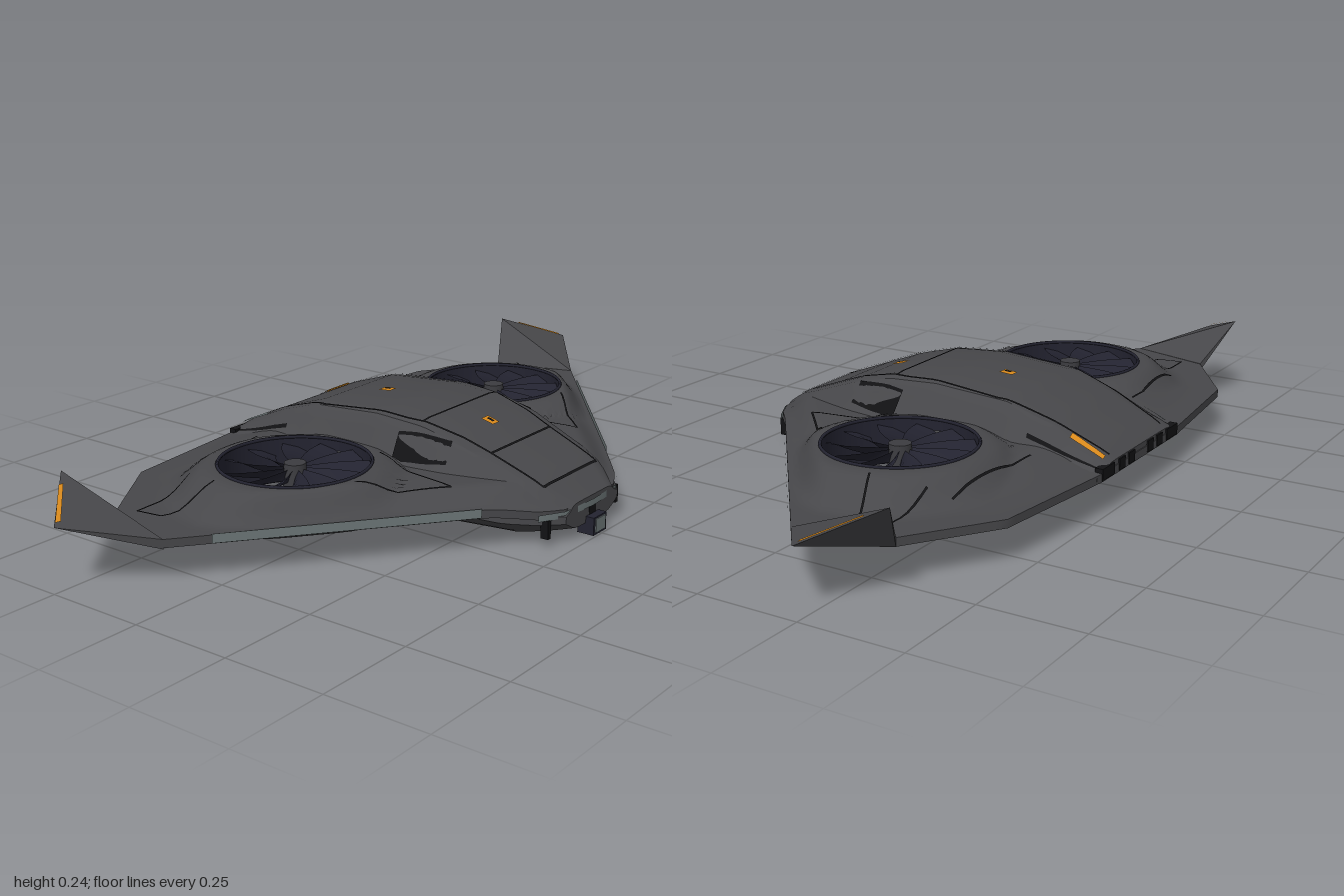
import * as THREE from 'three';
import { toCreasedNormals } from 'three/addons/utils/BufferGeometryUtils.js';
import { ConvexGeometry } from 'three/addons/geometries/ConvexGeometry.js';

const mat = (name, color, side = THREE.FrontSide) => {
  const m = new THREE.MeshStandardMaterial({ color, side });
  m.name = name;
  return m;
};
const { smoothstep, lerp } = THREE.MathUtils;
const FAN = { x: 0.405, z: -0.09, r: 0.18 };

// Half planform [x, z], nose to tail
const OUTLINE = [[0, 0.47], [0.11, 0.465], [0.17, 0.43], [0.25, 0.36], [0.82, -0.1],
  [0.755, -0.315], [0.55, -0.455], [0.2, -0.495], [0, -0.495]];

// Piecewise linear lookup in [key, value] pairs with rising keys
function interp(table, k) {
  if (k <= table[0][0]) return table[0][1];
  for (let i = 1; i < table.length; i++) {
    const [a, va] = table[i - 1], [b, vb] = table[i];
    if (k <= b) return lerp(va, vb, (k - a) / (b - a || 1));
  }
  return table[table.length - 1][1];
}

// Surface through rows of points
function grid(rows, crease = 0.6) {
  const n = rows[0].length, idx = [];
  for (let i = 0; i < rows.length - 1; i++) for (let j = 0; j < n - 1; j++) {
    const a = i * n + j, b = a + n;
    idx.push(a, b, b + 1, a, b + 1, a + 1);
  }
  const g = new THREE.BufferGeometry();
  g.setAttribute('position', new THREE.Float32BufferAttribute(rows.flat(2), 3));
  g.setIndex(idx);
  return toCreasedNormals(g, crease);
}

// Mirror across x, keeping faces outward
function mirror(geo) {
  const g = geo.index ? geo.toNonIndexed() : geo.clone();
  for (const name of ['position', 'normal']) {
    const s = g.attributes[name], v = [];
    for (let i = 0; i < s.count; i += 3)
      for (const k of [i, i + 2, i + 1]) v.push(-s.getX(k), s.getY(k), s.getZ(k));
    g.setAttribute(name, new THREE.Float32BufferAttribute(v, 3));
  }
  return g;
}

// Distance to the outer rim of the planform
function rimDistance(x, z) {
  let best = 9;
  for (let i = 1; i < OUTLINE.length; i++) {
    const [ax, az] = OUTLINE[i - 1], [bx, bz] = OUTLINE[i];
    const dx = bx - ax, dz = bz - az;
    const t = THREE.MathUtils.clamp(((x - ax) * dx + (z - az) * dz) / (dx * dx + dz * dz), 0, 1);
    best = Math.min(best, Math.hypot(x - ax - t * dx, z - az - t * dz));
  }
  return best;
}

// Wing swells around the fan and thins to the rim
function swell(x, z) {
  const r = Math.hypot(x - FAN.x, z - FAN.z);
  const near = 1 - smoothstep(r, 0.2, 0.32);
  const inner = 0.6 * (1 - smoothstep(x, 0.25, 0.6));
  const width = lerp(0.18, 0.075, smoothstep(z, -0.3, -0.05));
  return Math.max(near, inner) * smoothstep(rimDistance(x, z), 0, width);
}
const droop = z => -0.02 * smoothstep(z, 0.34, 0.47);
const wingTop = (x, z) => 0.106 + droop(z) + 0.062 * swell(Math.abs(x), z);
const wingBottom = (x, z) => 0.086 + droop(z) - 0.03 * swell(Math.abs(x), z);

// Fuselage stations, tail to nose
const TOP = [[-0.493, 0.12], [-0.47, 0.135], [-0.35, 0.19], [-0.23, 0.23], [-0.03, 0.245], [0.1, 0.236],
  [0.2, 0.21], [0.4, 0.135], [0.472, 0.092]];
const BOTTOM = [[-0.493, 0.085], [-0.3, 0.042], [-0.21, 0.02], [0.18, 0.007], [0.36, 0.011], [0.472, 0.03]];
const MID = [[-0.493, 0.098], [-0.3, 0.1], [0.2, 0.1], [0.36, 0.09], [0.472, 0.068]];
const WIDTH = [[-0.493, 0.17], [-0.3, 0.19], [0, 0.195], [0.2, 0.187], [0.36, 0.162], [0.43, 0.125], [0.472, 0.088]];
function halfSection(z) {
  const w = interp(WIDTH, z), t = interp(TOP, z), b = interp(BOTTOM, z), m = interp(MID, z);
  const under = [[0, 0], [0.65, 0], [0.85, 0.05], [1, 0.2], [1.3, 0.6]].map(([x, y]) => [x * w, b + y * (m - b)]);
  const over = [[1.3, 0.1], [1.1, 0.4], [1, 0.75], [0.87, 0.95], [0.7, 1], [0, 1]].map(([x, y]) => [x * w, m + y * (t - m)]);
  return { under, over };
}
const topY = (x, z) => {
  const s = halfSection(z).over.slice().reverse(), ax = Math.abs(x);
  return Math.max(wingTop(x, z), ax > s[5][0] ? 0 : interp(s, ax));
};
const bottomY = (x, z) => {
  const s = halfSection(z).under, ax = Math.abs(x);
  return Math.min(wingBottom(x, z), ax > s[4][0] ? 1 : interp(s, ax));
};

// Thin strip following the skin along a polyline of [x, z]
function ribbon(pts, width, yOf = topY, lift = 0.003) {
  const rows = [];
  for (let i = 1; i < pts.length; i++) {
    const [ax, az] = pts[i - 1], [bx, bz] = pts[i];
    const len = Math.hypot(bx - ax, bz - az), n = Math.ceil(len / 0.025);
    const nx = -(bz - az) / len * width / 2, nz = (bx - ax) / len * width / 2;
    for (let k = 0; k <= n; k++) {
      const x = lerp(ax, bx, k / n), z = lerp(az, bz, k / n);
      rows.push([1, -1].map(s => [x + s * nx, yOf(x + s * nx, z + s * nz) + lift, z + s * nz]));
    }
  }
  return grid(rows);
}

export function createModel() {
  const root = new THREE.Group();
  const D = THREE.DoubleSide;
  const skin = mat('charcoal skin', 0x47474a), black = mat('black lines', 0x121214, D);
  const navy = mat('dark fan', 0x232330, D), gray = mat('gray strip', 0x6c7677, D);
  const orange = mat('orange marking', 0xd8891c, D), hubGray = mat('hub gray', 0x3c3c40);
  const add = (name, geo, m, parent = root) => {
    const mesh = new THREE.Mesh(geo, m);
    mesh.name = name;
    parent.add(mesh);
    return mesh;
  };
  const pair = (name, geo, m) => {
    add('left ' + name, geo, m);
    add('right ' + name, mirror(geo), m);
  };
  const box = (name, m, [w, h, d], [x, y, z]) => add(name, new THREE.BoxGeometry(w, h, d), m).position.set(x, y, z);

  // Wing: rings from the fan opening out to the planform
  const rim = [];
  [...OUTLINE, OUTLINE[0]].forEach(([x, z], i, all) => {
    const [nx, nz] = all[i + 1] || [x, z];
    const n = all[i + 1] ? Math.max(1, Math.ceil(Math.hypot(nx - x, nz - z) / 0.035)) : 1;
    for (let k = 0; k < n; k++) rim.push([lerp(x, nx, k / n), lerp(z, nz, k / n)]);
  });
  const RINGS = 16;
  pair('wing', grid(rim.map(([bx, bz]) => {
    const a = Math.atan2(bz - FAN.z, bx - FAN.x);
    const hx = FAN.x + FAN.r * Math.cos(a), hz = FAN.z + FAN.r * Math.sin(a);
    const under = [], over = [];
    for (let k = 0; k <= RINGS; k++) {
      const x = lerp(hx, bx, k / RINGS), z = lerp(hz, bz, k / RINGS);
      under.push([x, wingBottom(x, z), z]);
      over.unshift([x, wingTop(x, z), z]);
    }
    return [...under, ...over];
  })), skin);

  // Fuselage loft, closed at nose and tail
  const body = [];
  for (let i = 0; i <= 40; i++) {
    const z = lerp(0.472, -0.493, i / 40), { under, over } = halfSection(z);
    const half = [...under, ...over];
    const loop = [...half, ...half.slice(0, -1).reverse().map(([x, y]) => [-x, y])].map(([x, y]) => [x, y, z]);
    const cap = loop.map(() => [0, interp(MID, z), z]);
    if (i === 0) body.push(cap);
    body.push(loop);
    if (i === 40) body.push(cap);
  }
  add('fuselage', grid(body, 0.5), skin);

  // Upturned winglets
  pair('winglet', new ConvexGeometry([[0.82, 0.106, -0.1], [0.82, 0.083, -0.1], [0.995, 0.155, -0.24],
    [0.857, 0.215, -0.372], [0.755, 0.107, -0.315], [0.755, 0.086, -0.315]].map(p => new THREE.Vector3(...p))), skin);
  pair('winglet marking', grid([[[0.985, 0.162, -0.247], [0.973, 0.162, -0.243]],
    [[0.895, 0.202, -0.336], [0.886, 0.202, -0.332]]]), orange);

  // Ducted fans
  const blades = 12;
  for (const s of [1, -1]) {
    const fan = new THREE.Group();
    fan.name = s > 0 ? 'left fan' : 'right fan';
    fan.position.set(s * FAN.x, 0, FAN.z);
    root.add(fan);
    add('duct', new THREE.CylinderGeometry(FAN.r, FAN.r, 0.117, 64, 1, true), navy, fan).position.y = 0.1135;
    const lip = add('duct lip', new THREE.TorusGeometry(FAN.r, 0.004, 6, 64), navy, fan);
    lip.rotation.x = Math.PI / 2;
    lip.position.y = 0.17;
    for (let b = 0; b < blades; b++) {
      const rows = [];
      for (let i = 0; i <= 6; i++) {
        const t = i / 6, r = lerp(0.025, 0.178, t), sweep = 0.15 * t * t;
        rows.push([0, 0.5, 1].map(u => {
          const a = sweep + u * lerp(0.47, 0.425, t);
          return [r * Math.cos(a), 0.155 - 0.03 * u + 0.004 * Math.sin(u * Math.PI), r * Math.sin(a)];
        }));
      }
      add('blade', grid(rows), navy, fan).rotation.y = b / blades * Math.PI * 2;
    }
    add('hub', new THREE.CylinderGeometry(0.026, 0.03, 0.07, 24), hubGray, fan).position.y = 0.132;
  }

  // Panel lines on top
  const L = 0.006;
  pair('spine line', ribbon([[0.115, 0.41], [0.125, 0.27], [0.155, 0.05], [0.165, -0.2], [0.135, -0.48]], L), black);
  for (const [z, w] of [[0.41, 0.115], [0.27, 0.125], [0.09, 0.148]])
    add('cross line', ribbon([[-w, z], [w, z]], L), black);
  for (const pts of [
    [[0.24, 0.03], [0.27, 0.26], [0.43, 0.11]],
    [[0.26, -0.345], [0.55, -0.32]],
    [[0.57, -0.27], [0.74, -0.265], [0.73, -0.2], [0.61, -0.15]],
    [[0.2, -0.3], [0.19, -0.49]],
  ]) pair('wing line', ribbon(pts, 0.005), black);
  pair('side intake', ribbon([[0.182, 0.19], [0.205, 0.05]], 0.035), black);

  // Hatches and lines underneath
  const under = (pts, w) => ribbon(pts, w, bottomY, -0.003);
  for (const [x, z] of [[0.06, 0.2], [0.06, -0.02], [0.16, -0.25]])
    pair('belly hatch', under([[x - 0.035, z - 0.04], [x + 0.035, z - 0.04], [x + 0.035, z + 0.04],
      [x - 0.035, z + 0.04], [x - 0.035, z - 0.04]], 0.004), black);

  // Spine markers
  for (const z of [-0.135, 0.18]) {
    add('spine marker', ribbon([[0, z - 0.017], [0, z + 0.017]], 0.028), orange);
    add('marker slot', ribbon([[0, z - 0.008], [0, z + 0.01]], 0.009, topY, 0.005), black);
  }

  // Tail fairing strips and exhausts
  add('left tail strip', ribbon([[0.162, -0.395], [0.162, -0.48]], 0.014, topY, 0.008), orange);
  add('right tail strip', ribbon([[-0.165, -0.395], [-0.165, -0.48]], 0.008, topY, 0.008), gray);
  for (const s of [1, -1]) {
    for (const [x, w] of [[0.05, 0.03], [0.1, 0.03], [0.17, 0.06]])
      box('exhaust', black, [w, 0.028, 0.02], [s * x, 0.103, -0.487]);
    box('nose probe', black, [0.012, 0.045, 0.02], [s * 0.15, 0.045, 0.44]);
    box('belly blade', black, [0.006, 0.01, 0.07], [s * 0.1, 0.018, -0.17]);
  }

  // Leading edge and nose strips
  const edge = (pts, lo, hi) => grid(pts.map(([x, z]) => [[x, lo, z], [x, hi, z]]));
  pair('leading edge strip', edge([[0.272, 0.347], [0.742, -0.032]], 0.088, 0.11), gray);
  add('nose strip', edge([[-0.173, 0.434], [-0.112, 0.469], [0, 0.476], [0.112, 0.469], [0.173, 0.434]], 0.067, 0.083), gray);

  // Nose camera
  box('camera mount', black, [0.03, 0.04, 0.03], [0, 0.045, 0.458]);
  box('camera body', navy, [0.056, 0.044, 0.044], [0, 0.024, 0.472]);
  box('camera lens', gray, [0.042, 0.034, 0.004], [0, 0.025, 0.495]);
  return root;
}
